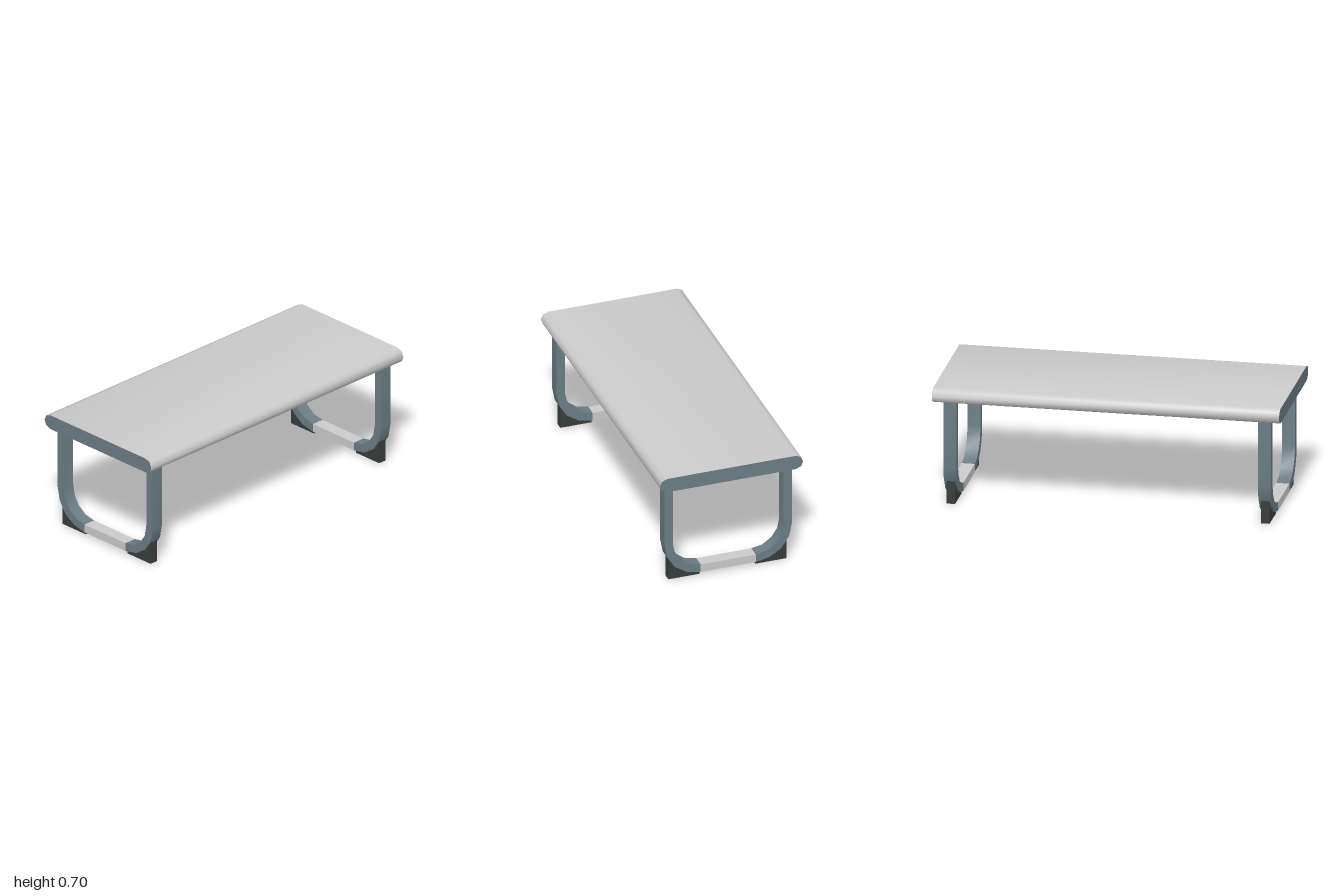
import * as THREE from 'three';
import { toCreasedNormals } from 'three/addons/utils/BufferGeometryUtils.js';

const material = (name, color) => new THREE.MeshStandardMaterial({ name, color });

// Extrude a [z, y] outline along x, centred on x = 0
function extrudeAlongX(outline, width) {
  const shape = new THREE.Shape(outline.map(([z, y]) => new THREE.Vector2(z, y)));
  const geometry = new THREE.ExtrudeGeometry(shape, { depth: width, bevelEnabled: false });
  geometry.translate(0, 0, -width / 2).rotateY(-Math.PI / 2);
  return toCreasedNormals(geometry, 0.9);
}

const mirrorZ = (outline) => outline.map(([z, y]) => [-z, y]);

export function createModel() {
  const lightGrey = material('light grey', 0xcacaca);
  const slate = material('slate', 0x6b7c84);
  const black = material('rubber black', 0x383d3b);

  const model = new THREE.Group();
  model.name = 'table';
  const add = (parent, name, geometry, mat) => {
    const mesh = new THREE.Mesh(geometry, mat);
    mesh.name = name;
    parent.add(mesh);
  };

  // Table top: rounded long edges, slate end faces
  const edge = [[0.385, 0.613], [0.417, 0.626], [0.43, 0.656], [0.417, 0.687], [0.385, 0.7]];
  const topOutline = [...edge, ...mirrorZ(edge).reverse()];
  add(model, 'tableTop', extrudeAlongX(topOutline, 2), [slate, lightGrey]);

  // Bent leg: outer curve down, inner curve back up
  const outer = [[0.382, 0.615], [0.382, 0.232], [0.367, 0.153], [0.32, 0.08], [0.25, 0.035], [0.167, 0.018]];
  const inner = [[0.165, 0.067], [0.232, 0.08], [0.285, 0.118], [0.32, 0.17], [0.333, 0.24], [0.333, 0.615]];
  const legOutline = [...outer, ...inner];

  // Foot wedge filling the space below the bend
  const footOutline = [[0.167, 0], [0.355, 0], [0.355, 0.134], [0.32, 0.08], [0.25, 0.035], [0.167, 0.018]];

  // One frame at each end
  for (const side of [-1, 1]) {
    const frame = new THREE.Group();
    frame.name = side > 0 ? 'leftFrame' : 'rightFrame';
    frame.position.x = side * 0.906;
    for (const [end, place] of [['front', (o) => o], ['back', mirrorZ]]) {
      add(frame, `${end}Leg`, extrudeAlongX(place(legOutline), 0.075), slate);
      add(frame, `${end}Foot`, extrudeAlongX(place(footOutline), 0.05), black);
    }
    const bar = new THREE.BoxGeometry(0.075, 0.049, 0.332);
    bar.translate(0, 0.0425, 0);
    add(frame, 'crossbar', bar, lightGrey);
    model.add(frame);
  }
  return model;
}
